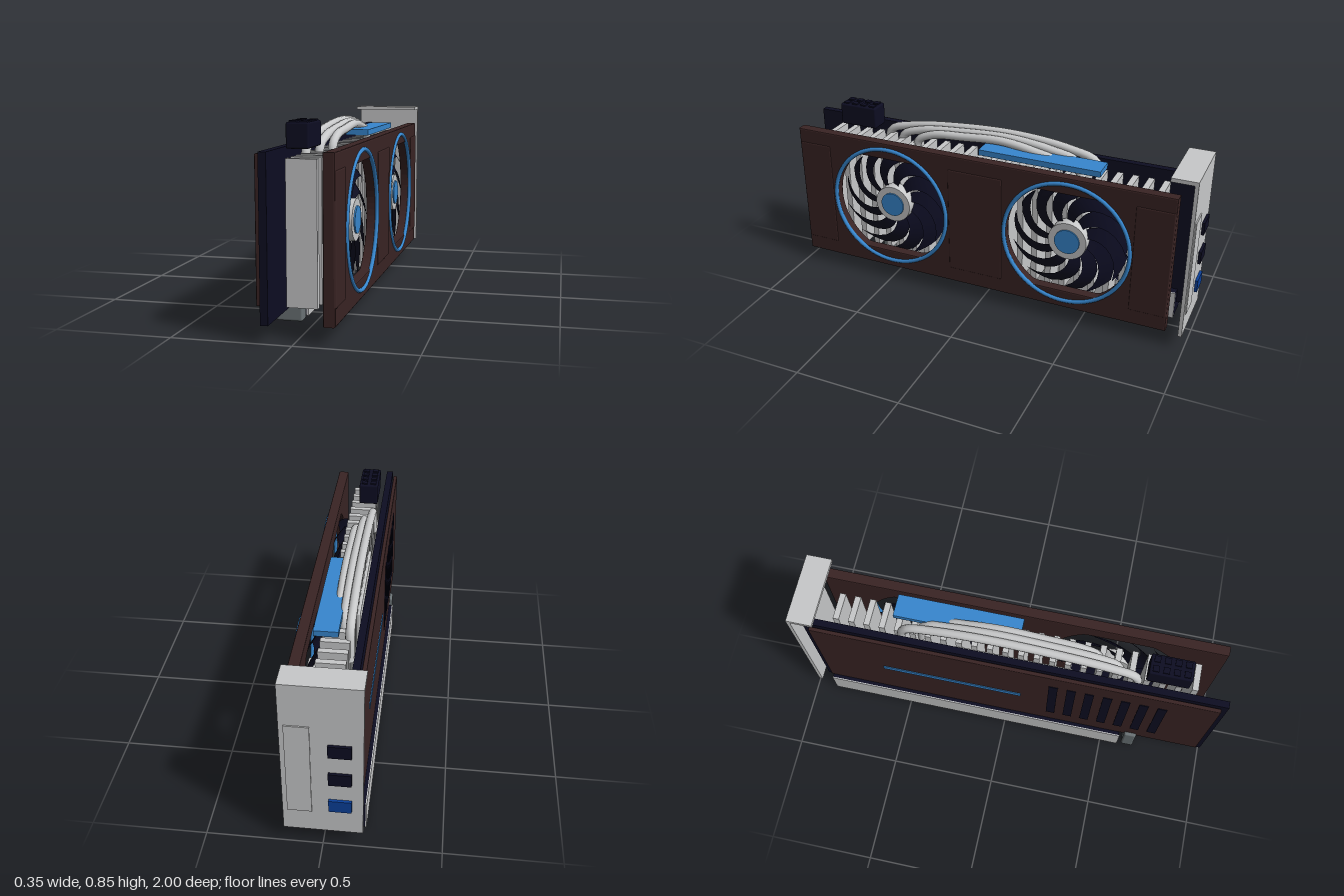
import * as THREE from 'three';
import { RoundedBoxGeometry } from 'three/addons/geometries/RoundedBoxGeometry.js';

const mat = (name, color, side = THREE.FrontSide) => {
  const m = new THREE.MeshStandardMaterial({ color, side });
  m.name = name;
  return m;
};

export function createModel() {
  const root = new THREE.Group();
  root.name = 'graphicsCard';
  const brown = mat('dark brown', 0x3a2424);
  const navy = mat('near black navy', 0x0d0d22, THREE.DoubleSide);
  const blue = mat('accent blue', 0x3787cf);
  const silver = mat('silver', 0xc8c9ca);
  const grey = mat('slate grey', 0x6b7376);
  const portBlue = mat('port blue', 0x0b409a);

  const add = (name, geo, m, parent = root) => {
    const mesh = new THREE.Mesh(geo, m);
    mesh.name = name;
    parent.add(mesh);
    return mesh;
  };
  // Box from its extents; r rounds the edges
  const box = (name, m, x0, x1, y0, y1, z0, z1, r = 0) => {
    const s = [x1 - x0, y1 - y0, z1 - z0];
    const mesh = add(name, r ? new RoundedBoxGeometry(...s, 2, r) : new THREE.BoxGeometry(...s), m);
    mesh.position.set((x0 + x1) / 2, (y0 + y1) / 2, (z0 + z1) / 2);
    return mesh;
  };

  const fanY = 0.415, fanZ = [0.482, -0.42];

  // Circuit board and backplate with vents and stripe
  box('circuitBoard', navy, -0.127, -0.095, 0.075, 0.747, -0.945, 1);
  box('backplate', brown, -0.152, -0.133, 0.143, 0.737, -0.91, 0.97, 0.004);
  for (let i = 0; i < 7; i++) {
    const z = 0.226 + i * 0.0837;
    box('backplateVent', navy, -0.155, -0.151, 0.25, 0.63, z - 0.021, z + 0.021);
  }
  box('backplateStripe', blue, -0.156, -0.151, 0.412, 0.442, -0.596, 0.076);

  // Edge slot: dark core, light side plates and a latch
  box('slotCore', navy, -0.168, -0.058, 0.012, 0.143, -0.9, 0.585);
  box('slotSideOuter', silver, -0.174, -0.168, 0.008, 0.145, -0.9, 0.588);
  box('slotSideInner', silver, -0.058, -0.05, 0.008, 0.145, -0.9, 0.588);
  box('slotLatch', grey, -0.168, -0.053, 0.002, 0.172, 0.608, 0.668, 0.01);

  // Heatsink fins and base
  for (let i = 0; i < 24; i++) {
    const z = -0.81 + i * 0.0721;
    box('heatsinkFin', silver, -0.062, 0.066, 0.115, 0.71, z - 0.014, z + 0.014);
  }
  box('heatsinkBase', silver, -0.076, -0.058, 0.29, 0.66, -0.25, 0.3, 0.006);

  // Arched heat pipes
  [[-0.057, 0.595, -0.515, 0.808], [-0.022, 0.505, -0.425, 0.8], [0.01, 0.405, -0.32, 0.793]].forEach(([x, z0, z1, top]) => {
    const at = (t, y) => new THREE.Vector3(x, y, z0 + (z1 - z0) * t);
    const path = new THREE.CatmullRomCurve3([
      at(0, 0.6), at(0.015, 0.72), at(0.12, 0.762), at(0.35, top - 0.012),
      at(0.62, top), at(0.85, top - 0.025), at(0.97, 0.74), at(1, 0.6),
    ]);
    add('heatPipe', new THREE.TubeGeometry(path, 48, 0.02, 12), silver);
  });

  // Top accent bar and power socket
  box('topAccentBar', blue, -0.015, 0.092, 0.743, 0.77, -0.545, 0.04);
  box('powerSocket', navy, -0.075, 0.02, 0.743, 0.848, 0.622, 0.815, 0.008);
  for (let i = 0; i < 4; i++) {
    for (const x of [-0.05, -0.005]) {
      const z = 0.65 + i * 0.046;
      box('powerSocketPin', navy, x - 0.014, x + 0.014, 0.845, 0.854, z - 0.014, z + 0.014);
    }
  }

  // Shroud plate, drawn in (-z, y) and turned to face +x
  const shape = new THREE.Shape();
  const b = 0.006;
  shape.moveTo(-0.97 + b, 0.075 + b);
  shape.lineTo(0.91 - b, 0.075 + b);
  shape.lineTo(0.91 - b, 0.747 - b);
  shape.lineTo(-0.97 + b, 0.747 - b);
  for (const z of fanZ) {
    const pts = [];
    for (let i = 0; i < 64; i++) {
      const a = -i / 64 * Math.PI * 2;
      const y = fanY + 0.303 * Math.sin(a);
      pts.push(new THREE.Vector2(-z + 0.303 * Math.cos(a), Math.min(0.672, Math.max(0.158, y))));
    }
    shape.holes.push(new THREE.Path(pts));
  }
  const plate = new THREE.ExtrudeGeometry(shape, {
    depth: 0.038, bevelEnabled: true, bevelSize: b, bevelThickness: b, bevelSegments: 2,
  });
  plate.rotateY(Math.PI / 2);
  add('shroud', plate, brown).position.x = 0.121;
  for (const [z0, z1] of [[0.8, 0.968], [-0.107, 0.166], [-0.908, -0.734]]) {
    box('shroudPanel', brown, 0.14, 0.168, 0.148, 0.678, z0, z1, 0.006);
  }

  // Curved, pitched fan blade built from arcs at growing radius
  const bladeGeometry = () => {
    const pos = [], idx = [], R = 8, C = 4;
    for (let i = 0; i <= R; i++) {
      const t = i / R, r = 0.08 + t * 0.196;
      for (let j = 0; j <= C; j++) {
        const s = j / C - 0.5;
        const a = s * (0.42 + 0.06 * t) - 0.75 * t * t - 0.1 * t;
        pos.push(-s * (0.022 + 0.022 * t), r * Math.cos(a), r * Math.sin(a));
        if (i < R && j < C) {
          const k = i * (C + 1) + j, n = k + C + 1;
          idx.push(k, k + 1, n, k + 1, n + 1, n);
        }
      }
    }
    const g = new THREE.BufferGeometry();
    g.setAttribute('position', new THREE.Float32BufferAttribute(pos, 3));
    g.setIndex(idx);
    g.computeVertexNormals();
    return g;
  };
  const blade = bladeGeometry();
  const disc = (r, h) => new THREE.CylinderGeometry(r, r, h, 40).rotateZ(-Math.PI / 2);

  // Two fans with hubs, caps and bright rings
  for (const z of fanZ) {
    const fan = new THREE.Group();
    fan.name = 'fan';
    fan.position.set(0, fanY, z);
    root.add(fan);
    for (let i = 0; i < 11; i++) {
      const m = add('fanBlade', blade, navy, fan);
      m.position.x = 0.1;
      m.rotation.x = i / 11 * Math.PI * 2;
    }
    add('fanHub', disc(0.092, 0.055), silver, fan).position.x = 0.11;
    add('fanCap', disc(0.06, 0.008), blue, fan).position.x = 0.14;
    const ring = add('fanRing', new THREE.TorusGeometry(0.302, 0.01, 10, 64), blue, fan);
    ring.rotation.y = Math.PI / 2;
    ring.position.x = 0.165;
  }

  // Mounting bracket with folded flange, vent panel and ports
  box('bracket', silver, -0.167, 0.167, 0.068, 0.84, -0.987, -0.97);
  box('bracketFlange', silver, -0.167, 0.167, 0.822, 0.84, -0.987, -0.868);
  box('bracketVentPanel', silver, 0.045, 0.147, 0.18, 0.64, -0.993, -0.986);
  [[0.525, navy], [0.375, navy], [0.225, portBlue]].forEach(([y, m]) =>
    box('port', m, -0.12, -0.025, y - 0.03, y + 0.03, -1, -0.986));

  return root;
}
